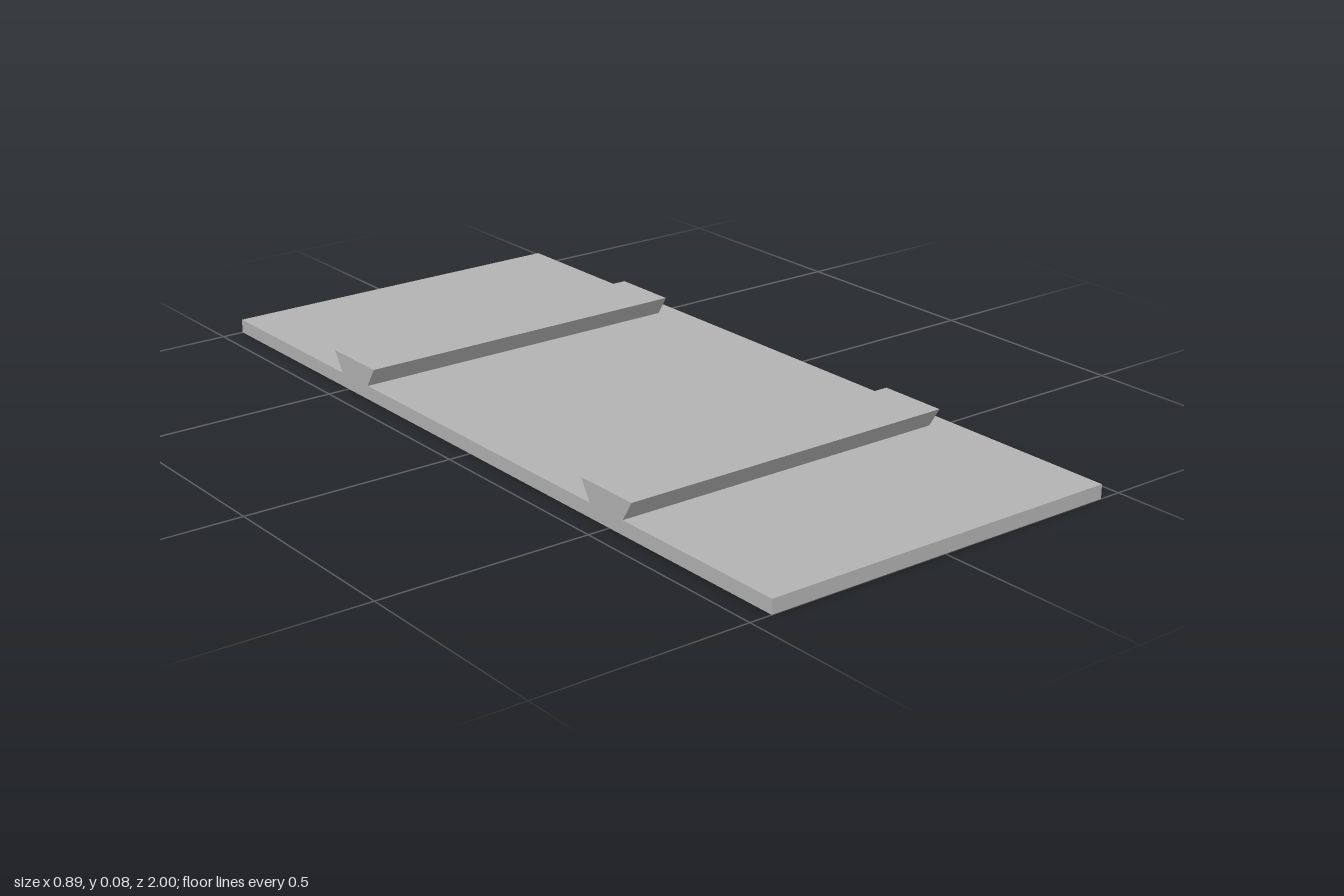
import * as THREE from 'three';

export function createModel() {
  const group = new THREE.Group();
  const grey = new THREE.MeshStandardMaterial({ color: 0xb2b2b2 });
  grey.name = 'plain grey';

  const halfWidth = 0.447, boardHeight = 0.033, topHeight = 0.08;

  // Flat rectangular board
  const board = new THREE.Mesh(new THREE.BoxGeometry(halfWidth * 2, boardHeight, 2), grey);
  board.name = 'board';
  board.position.y = boardHeight / 2;
  group.add(board);

  // Dovetail battens: wider at the top, flush with the right edge, short of the left edge
  const profile = new THREE.Shape([
    new THREE.Vector2(-0.055, boardHeight),
    new THREE.Vector2(0.055, boardHeight),
    new THREE.Vector2(0.084, topHeight),
    new THREE.Vector2(-0.084, topHeight),
  ]);
  const battenGeometry = new THREE.ExtrudeGeometry(profile, { depth: halfWidth + 0.396, bevelEnabled: false });
  battenGeometry.rotateY(Math.PI / 2);
  for (const [name, z] of [['frontBatten', 0.489], ['backBatten', -0.47]]) {
    const batten = new THREE.Mesh(battenGeometry, grey);
    batten.name = name;
    batten.position.set(-halfWidth, 0, z);
    group.add(batten);
  }

  return group;
}
